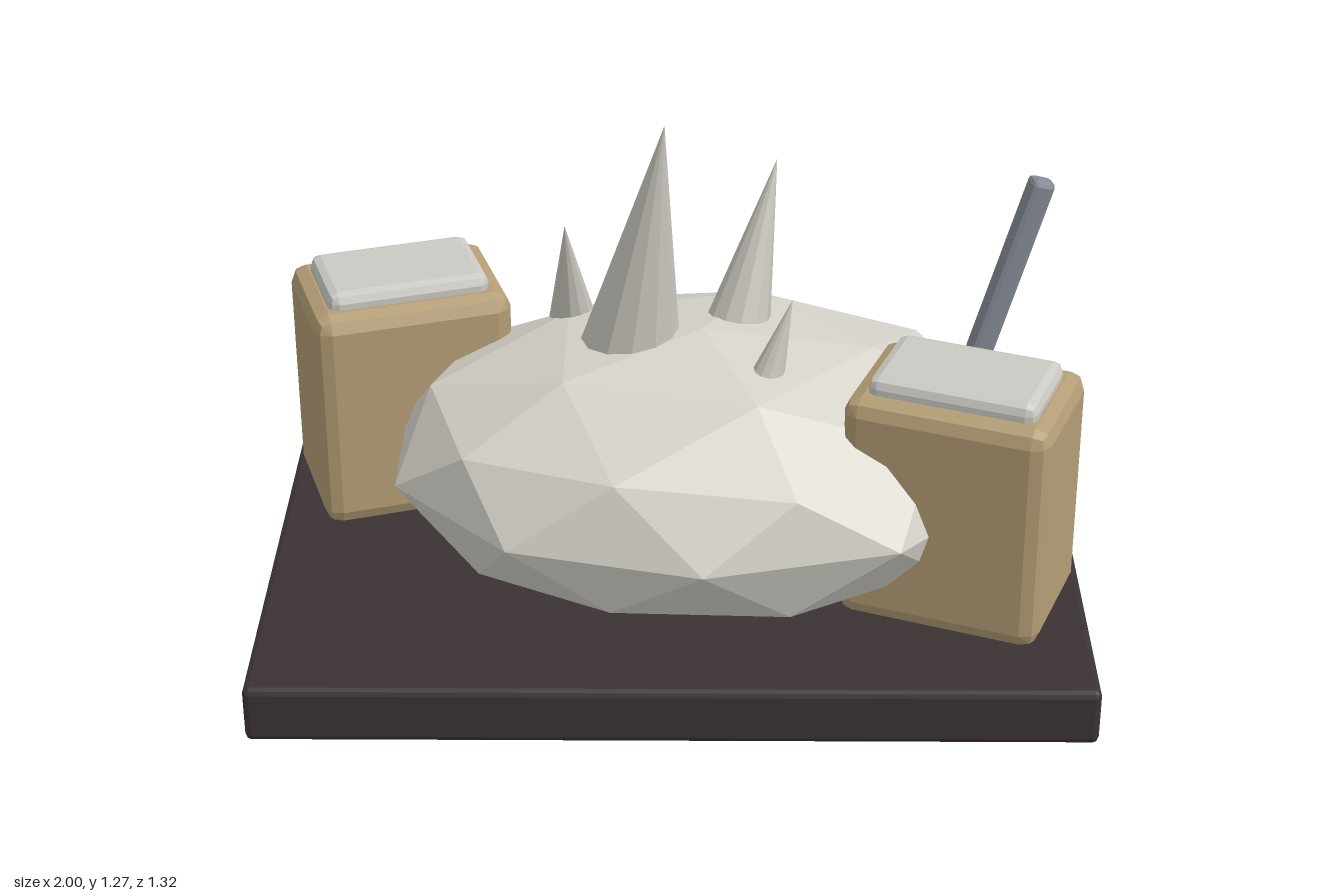
import * as THREE from 'three';
import { ConvexGeometry } from 'three/addons/geometries/ConvexGeometry.js';

const mat = (name, color) => {
  const m = new THREE.MeshStandardMaterial({ color });
  m.name = name;
  return m;
};

// Box with bevelled edges: each corner is a small faceted octant of radius b.
function bevelBox(w, h, d, b) {
  const s = Math.SQRT1_2, k = 1 / Math.sqrt(3);
  const dirs = [[1, 0, 0], [0, 1, 0], [0, 0, 1], [s, s, 0], [s, 0, s], [0, s, s], [k, k, k]];
  const points = [];
  for (const x of [-1, 1]) for (const y of [-1, 1]) for (const z of [-1, 1])
    for (const [i, j, l] of dirs)
      points.push(new THREE.Vector3(
        x * (w / 2 - b + i * b), y * (h / 2 - b + j * b), z * (d / 2 - b + l * b)));
  return new ConvexGeometry(points);
}

// Once-subdivided icosahedron standing on a pole, stretched to an ellipsoid.
function facetedEllipsoid(rx, ry, rz) {
  const verts = [0, 1, 0, 0, -1, 0], faces = [];
  const y = 1 / Math.sqrt(5), r = 2 * y;
  for (let i = 0; i < 5; i++) {
    for (const side of [0, 1]) {
      const a = (i + side / 2) * Math.PI * 0.4;
      verts.push(r * Math.cos(a), side ? -y : y, -r * Math.sin(a));
    }
    const n = (i + 1) % 5;
    const u = 2 + 2 * i, l = u + 1, u2 = 2 + 2 * n, l2 = u2 + 1;
    faces.push(0, u, u2, u, l, u2, l, l2, u2, 1, l2, l);
  }
  const g = new THREE.PolyhedronGeometry(verts, faces, 1, 1);
  g.scale(rx, ry, rz);
  g.computeVertexNormals();
  return g;
}

export function createModel() {
  const model = new THREE.Group();
  model.name = 'model';
  const stone = mat('pale stone', 0xd6d3ca);
  const spikeMat = mat('spike grey', 0xcac7be);
  const tan = mat('tan', 0xb39d75);
  const lidMat = mat('lid grey', 0xcac9c3);
  const dark = mat('dark base', 0x3b3333);
  const steel = mat('steel', 0x838993);

  const add = (parent, name, geometry, material, x, y, z) => {
    const m = new THREE.Mesh(geometry, material);
    m.name = name;
    m.position.set(x, y, z);
    parent.add(m);
    return m;
  };

  // Base and mound
  add(model, 'base', bevelBox(1.96, 0.14, 1.32, 0.015), dark, -0.02, 0.07, 0);
  add(model, 'mound', facetedEllipsoid(0.77, 0.33, 0.59), stone, 0.05, 0.4, 0);

  // Leaning spikes: base centre, tip, radius
  const spikes = [
    [[-0.125, 0.66, -0.035], [-0.04, 1.275, 0.05], 0.122],
    [[0.13, 0.66, -0.122], [0.225, 1.075, -0.215], 0.083],
    [[-0.27, 0.64, -0.215], [-0.28, 0.95, -0.1], 0.06],
    [[0.195, 0.66, 0.143], [0.257, 0.865, 0.115], 0.044],
  ];
  for (const [from, to, radius] of spikes) {
    const a = new THREE.Vector3(...from), b = new THREE.Vector3(...to);
    const axis = b.clone().sub(a);
    const g = new THREE.ConeGeometry(radius, axis.length(), 12).toNonIndexed();
    g.computeVertexNormals();
    const mid = a.add(b).multiplyScalar(0.5);
    const spike = add(model, 'spike', g, spikeMat, mid.x, mid.y, mid.z);
    spike.quaternion.setFromUnitVectors(new THREE.Vector3(0, 1, 0), axis.normalize());
  }

  // Two bins, each with a lid panel
  const bins = [['leftBin', 0.655, 0.245, -0.37], ['rightBin', -0.7, -0.29, 0.31]];
  for (const [name, x, z, turn] of bins) {
    const bin = new THREE.Group();
    bin.name = name;
    bin.position.set(x, 0, z);
    bin.rotation.y = turn;
    add(bin, 'binBody', bevelBox(0.49, 0.575, 0.36, 0.04), tan, 0, 0.4275, 0);
    add(bin, 'binLid', bevelBox(0.4, 0.08, 0.26, 0.025), lidMat, 0, 0.715, 0);
    model.add(bin);
  }

  // Shovel: handle and blade share one tilt
  const side = new THREE.Vector3(0.27, -0.085, -0.055).normalize();
  const normal = side.clone().cross(new THREE.Vector3(0.205, 0.71, -0.045)).normalize();
  const up = normal.clone().cross(side);
  const tilt = new THREE.Matrix4().makeBasis(side, up, normal);
  const handle = add(model, 'shovelHandle', bevelBox(0.062, 0.74, 0.055, 0.014), steel, 0.772, 0.61, -0.323);
  const blade = add(model, 'shovelBlade', bevelBox(0.3, 0.22, 0.03, 0.008), steel, 0.832, 0.287, -0.395);
  for (const part of [handle, blade]) part.quaternion.setFromRotationMatrix(tilt);

  return model;
}
